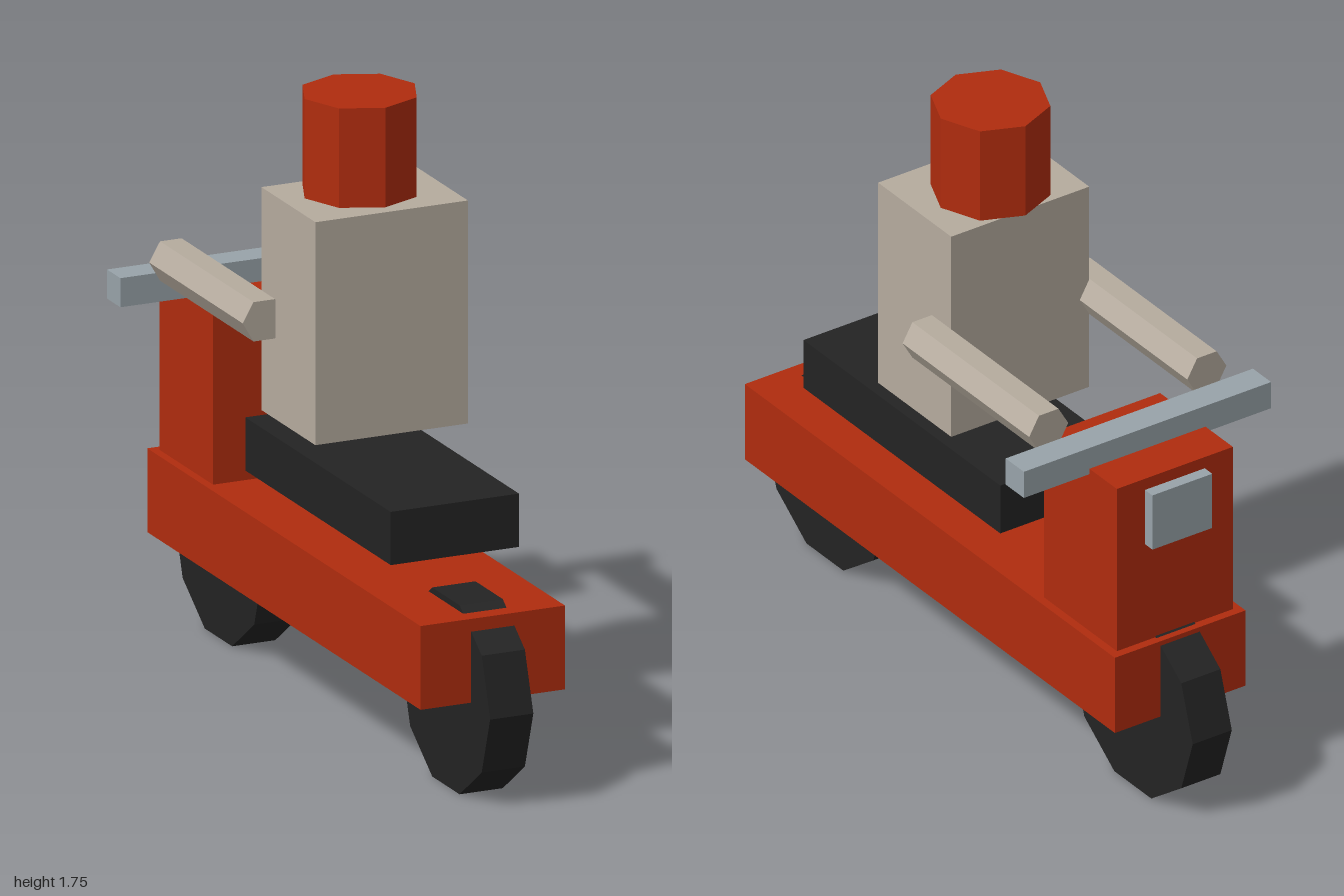
import * as THREE from 'three';

const paint = (name, color) => {
  const m = new THREE.MeshStandardMaterial({ color });
  m.name = name;
  m.flatShading = true;
  return m;
};

export function createModel() {
  const red = paint('red', 0xb02c0e);
  const black = paint('black', 0x232323);
  const beige = paint('beige', 0xb5ab9e);
  const steel = paint('steel', 0x98a3a9);

  const group = new THREE.Group();
  group.name = 'scooterAndRider';

  const add = (name, geometry, material, x, y, z) => {
    const mesh = new THREE.Mesh(geometry, material);
    mesh.name = name;
    mesh.position.set(x, y, z);
    group.add(mesh);
  };

  // Box centred on x = 0, given by half width and its y and z ranges
  const block = (name, material, halfW, y0, y1, z0, z1) =>
    add(name, new THREE.BoxGeometry(halfW * 2, y1 - y0, z1 - z0), material, 0, (y0 + y1) / 2, (z0 + z1) / 2);

  // Scooter; its nose points to -z
  block('body', red, 0.214, 0.28, 0.516, -0.85, 0.88);
  block('frontColumn', red, 0.19, 0.516, 1.025, -0.825, -0.485);
  block('seat', black, 0.19, 0.615, 0.765, -0.28, 0.64);
  block('handlebar', steel, 0.405, 1.008, 1.09, -0.697, -0.612);
  block('headlight', steel, 0.098, 0.82, 0.99, -0.86, -0.825);

  // Ten-sided wheels resting on a flat side
  const wheel = new THREE.CylinderGeometry(0.28, 0.28, 0.128, 10).rotateZ(Math.PI / 2);
  add('frontWheel', wheel, black, 0, 0.267, -0.72);
  add('rearWheel', wheel, black, 0, 0.267, 0.72);

  // Rider
  block('torso', beige, 0.226, 0.842, 1.47, -0.102, 0.24);
  add('helmet', new THREE.CylinderGeometry(0.163, 0.163, 0.28, 8), red, 0, 1.61, 0.037);

  // Six-sided arms with corners pointing sideways
  const arm = new THREE.CylinderGeometry(0.064, 0.064, 0.592, 6, 1, false, Math.PI / 2).rotateX(Math.PI / 2);
  for (const side of [1, -1]) {
    add(side > 0 ? 'leftArm' : 'rightArm', arm, beige, side * 0.259, 1.125, -0.309);
  }

  return group;
}
